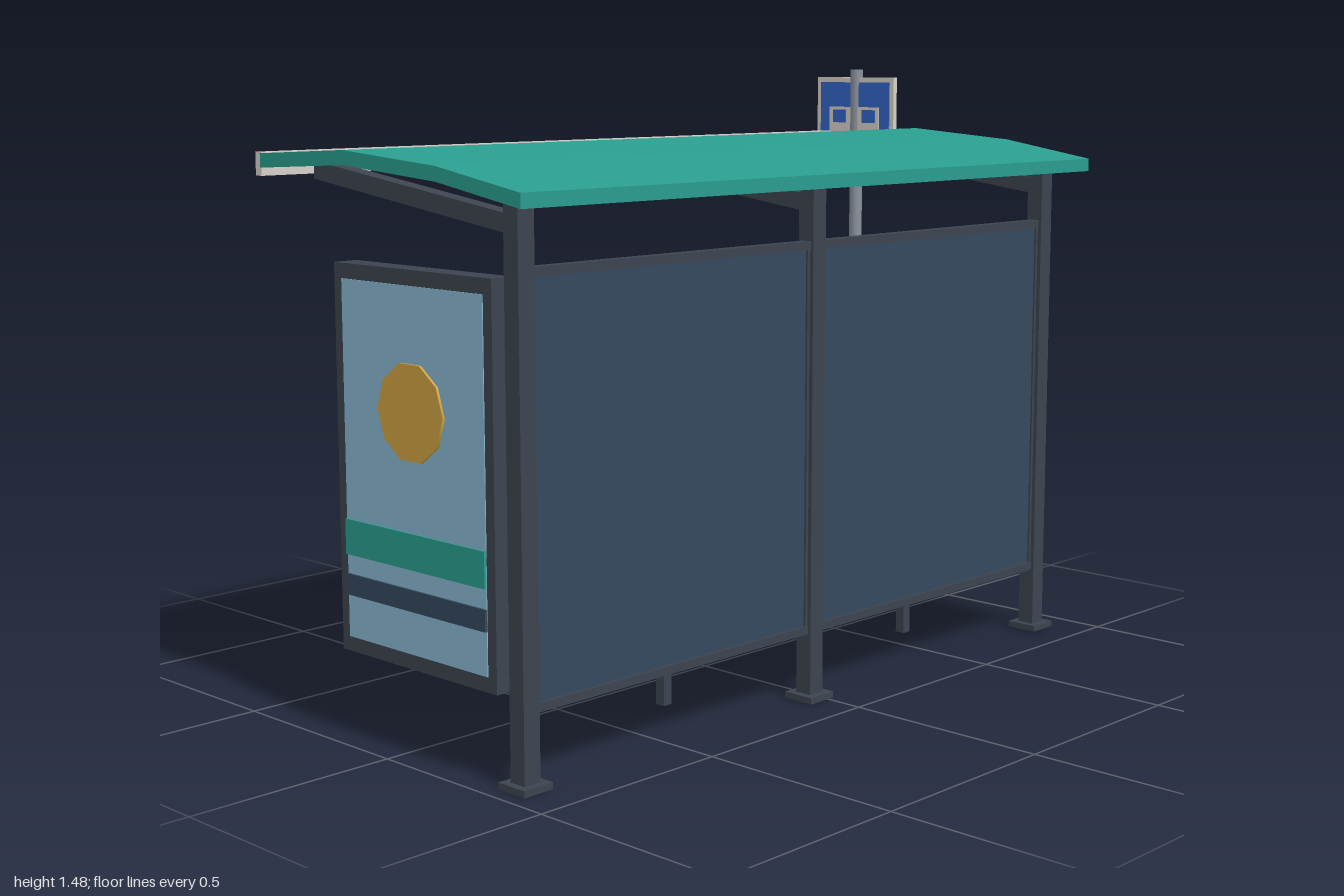
import * as THREE from 'three';

const mat = (name, color) => {
  const m = new THREE.MeshStandardMaterial({ color });
  m.name = name;
  return m;
};

export function createModel() {
  const model = new THREE.Group();
  model.name = 'busShelter';
  const steel = mat('darkSteel', 0x3d444f);
  const teal = mat('teal', 0x2a9d8f);
  const glass = mat('slateGlass', 0x34495e);
  const grey = mat('poleGrey', 0x8b929d);
  const cream = mat('offWhite', 0xd6d2ca);
  const blue = mat('signBlue', 0x3266c8);
  const sky = mat('posterSky', 0x88b9d3);
  const amber = mat('amber', 0xcfa442);
  const wood = mat('wood', 0xb07a45);

  const add = (name, geo, material, x = 0, y = 0, z = 0) => {
    const mesh = new THREE.Mesh(geo, material);
    mesh.name = name;
    mesh.position.set(x, y, z);
    model.add(mesh);
    return mesh;
  };
  // box given by its limits on each axis
  const box = (name, material, x0, x1, y0, y1, z0, z1) =>
    add(name, new THREE.BoxGeometry(x1 - x0, y1 - y0, z1 - z0), material,
      (x0 + x1) / 2, (y0 + y1) / 2, (z0 + z1) / 2);
  // flat outline in (z, y), extruded along x
  const extrudeX = (points, depth) => {
    const shape = new THREE.Shape(points.map(([z, y]) => new THREE.Vector2(-z, y)));
    return new THREE.ExtrudeGeometry(shape, { depth, bevelEnabled: false }).rotateY(Math.PI / 2);
  };

  // Posts, foot plates and sloping roof beams
  const postZ = 0.365, postXs = [-0.922, -0.022, 0.88];
  for (const x of postXs) {
    box('post', steel, x - 0.022, x + 0.022, 0, 1.22, postZ - 0.022, postZ + 0.022);
    box('footPlate', steel, x - 0.04, x + 0.04, 0, 0.015, postZ - 0.041, postZ + 0.041);
    add('roofBeam', extrudeX([[0.36, 1.16], [0.36, 1.2], [-0.29, 1.286], [-0.29, 1.246]], 0.04),
      steel, x - 0.02);
  }

  // Curved roof slab and rear gutter
  const roof = [[0.46, 1.25], [0.2, 1.293], [-0.11, 1.316], [-0.41, 1.3]];
  const under = roof.map(([z, y]) => [z, y - 0.032]).reverse();
  add('roof', extrudeX([...roof, ...under], 1.96), teal, -1);
  box('gutter', cream, -1, 0.96, 1.25, 1.303, -0.427, -0.405);

  // Wall panels with thin frames
  for (let i = 0; i < 2; i++) {
    const a = postXs[i] + 0.022, b = postXs[i + 1] - 0.022;
    box('wallPanel', glass, a, b, 0.17, 1.085, postZ - 0.007, postZ + 0.007);
    for (const y of [0.162, 1.072])
      box('wallRail', steel, a, b, y, y + 0.02, postZ - 0.014, postZ + 0.014);
    for (const x of [a, b - 0.008])
      box('wallEdge', steel, x, x + 0.008, 0.18, 1.075, postZ - 0.012, postZ + 0.012);
  }

  // Poster case at the end wall, printed on both faces
  const px = -0.921;
  for (const z of [-0.213, 0.285])
    box('posterFrameSide', steel, px - 0.03, px + 0.03, 0.197, 1.068, z, z + 0.027);
  for (const y of [0.197, 1.034])
    box('posterFrameRail', steel, px - 0.03, px + 0.03, y, y + 0.034, -0.186, 0.285);
  box('poster', sky, px - 0.032, px + 0.032, 0.231, 1.034, -0.186, 0.285);
  for (const s of [-1, 1]) {
    const x = px + s * 0.034;
    const sun = new THREE.CylinderGeometry(0.11, 0.11, 0.008, 10).rotateZ(Math.PI / 2);
    add('posterSun', sun, amber, x, 0.763, 0.05);
    box('posterBand', teal, x - 0.003, x + 0.003, 0.42, 0.5, -0.186, 0.285);
    box('posterStripe', glass, x - 0.003, x + 0.003, 0.328, 0.376, -0.186, 0.285);
  }

  // Bench
  for (const z of [0.125, 0.213])
    box('benchSlat', wood, -0.425, 0.725, 0.223, 0.246, z, z + 0.081);
  for (const x of [-0.298, 0.602]) {
    box('benchArm', steel, x - 0.0125, x + 0.0125, 0.2, 0.223, 0.138, 0.36);
    box('benchLeg', steel, x - 0.0125, x + 0.0125, 0, 0.2, 0.138, 0.164);
  }

  // Timetable on the inside of the wall
  box('timetableBoard', cream, 0.455, 0.717, 0.55, 0.9, 0.342, 0.36);
  box('timetableHeader', blue, 0.478, 0.694, 0.815, 0.88, 0.339, 0.343);
  for (let i = 0; i < 4; i++) {
    const y = 0.752 - i * 0.055;
    box('timetableLine', grey, 0.49, 0.682, y - 0.009, y + 0.009, 0.339, 0.343);
  }

  // Stop pole
  const sx = 0.953, sz = -0.318, sy = 1.315;
  add('stopPole', new THREE.CylinderGeometry(0.018, 0.018, 1.476, 12), grey, sx, 0.738, sz);
  add('poleBase', new THREE.CylinderGeometry(0.044, 0.044, 0.015, 8), steel, sx, 0.0075, sz);

  // Stop sign with a bus symbol on both faces
  box('signPlate', cream, sx - 0.007, sx + 0.007, sy - 0.139, sy + 0.139, sz - 0.139, sz + 0.139);
  for (const s of [-1, 1]) {
    const plate = (name, m, off, z, y, w, h) =>
      add(name, new THREE.BoxGeometry(0.003, h, w), m, sx + s * off, sy + y, sz + z);
    plate('signFace', blue, 0.008, 0, 0, 0.25, 0.25);
    plate('symbolBody', cream, 0.01, 0, 0.006, 0.18, 0.1);
    for (const side of [-1, 1]) {
      plate('symbolWindow', blue, 0.0115, side * 0.053, 0.03, 0.047, 0.036);
      const wheel = new THREE.CylinderGeometry(0.027, 0.027, 0.003, 10).rotateZ(Math.PI / 2);
      add('symbolWheel', wheel, cream, sx + s * 0.0105, sy - 0.044, sz + side * 0.05);
    }
  }
  return model;
}
